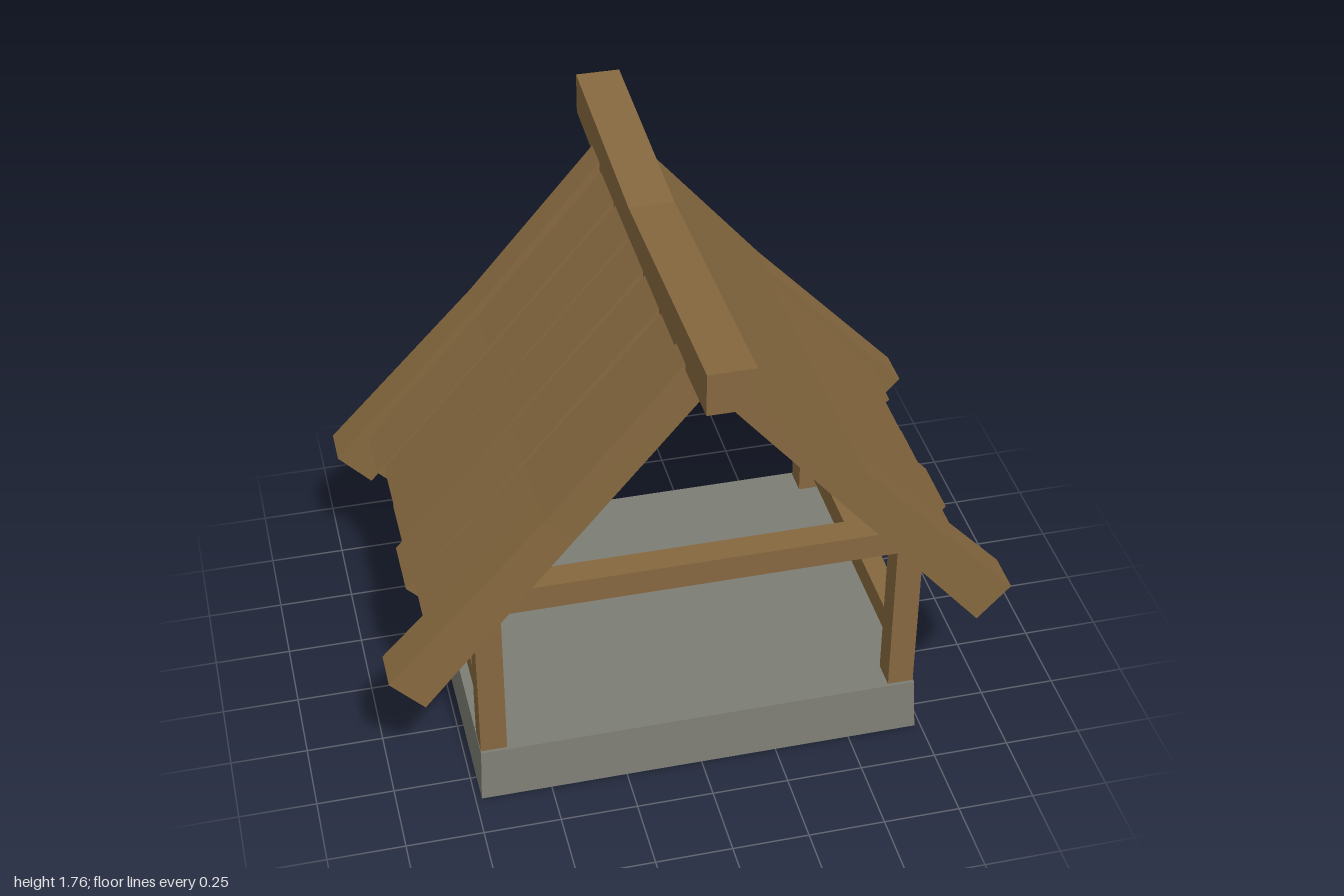
import * as THREE from 'three';

const wood = new THREE.MeshStandardMaterial({ color: 0x86683f, flatShading: true });
const stone = new THREE.MeshStandardMaterial({ color: 0x7c7d74, flatShading: true });

// Skin a row of four-cornered sections, closed at both ends
function loft(name, rings, material) {
  const pos = [];
  const quad = (a, b, c, d) => pos.push(...a, ...b, ...c, ...a, ...c, ...d);
  for (let k = 0; k < rings.length - 1; k++) {
    const r = rings[k], n = rings[k + 1];
    for (let i = 0; i < 4; i++) {
      const j = (i + 1) % 4;
      quad(r[i], r[j], n[j], n[i]);
    }
  }
  const [a, b, c, d] = rings[0];
  quad(d, c, b, a);
  quad(...rings[rings.length - 1]);
  const geometry = new THREE.BufferGeometry();
  geometry.setAttribute('position', new THREE.Float32BufferAttribute(pos, 3));
  geometry.computeVertexNormals();
  const mesh = new THREE.Mesh(geometry, material);
  mesh.name = name;
  return mesh;
}

// Sloping roof timber; each section: outer x, outer y, inner x, inner y, z min, z max
function roofBoard(name, side, sections) {
  return loft(name, sections.map(([ox, oy, ix, iy, z0, z1]) => {
    const ring = [
      [side * ox, oy, z0], [side * ox, oy, z1],
      [side * ix, iy, z1], [side * ix, iy, z0],
    ];
    return side > 0 ? ring : ring.reverse();
  }), wood);
}

function box(name, w, h, d, x, y, z) {
  const mesh = new THREE.Mesh(new THREE.BoxGeometry(w, h, d), wood);
  mesh.name = name;
  mesh.position.set(x, y, z);
  return mesh;
}

export function createModel() {
  const group = new THREE.Group();
  group.name = 'wellShelter';

  // Tapered stone slab
  const slab = (x, y, z) => [[-x, y, z], [x, y, z], [x, y, -z], [-x, y, -z]];
  group.add(loft('stoneBase', [slab(0.73, 0, 0.6), slab(0.722, 0.185, 0.585)], stone));

  // Posts, cross beams and side rails
  for (const z of [-0.53, 0.53]) {
    for (const x of [-0.678, 0.678]) group.add(box('post', 0.085, 0.57, 0.09, x, 0.46, z));
    group.add(box('crossBeam', 1.46, 0.088, 0.088, 0, 0.785, z));
  }
  for (const x of [-0.678, 0.678]) group.add(box('sideRail', 0.07, 0.088, 1.0, x, 0.381, 0));

  // Sagging ridge beam
  const ridge = (z, y) => [[0.073, y, z], [0.073, y + 0.14, z], [-0.073, y + 0.14, z], [-0.073, y, z]];
  group.add(loft('ridgeBeam', [ridge(-0.875, 1.62), ridge(-0.1, 1.573), ridge(0.875, 1.62)], wood));

  // Planks: top z range, eave z range, eave x and y
  const planks = [
    [-0.5, -0.315, -0.502, -0.302, 0.89, 0.675],
    [-0.29, -0.105, -0.3, -0.1, 0.866, 0.69],
    [-0.09, 0.095, -0.1, 0.108, 0.868, 0.69],
    [0.12, 0.305, 0.1, 0.307, 0.89, 0.675],
    [0.335, 0.515, 0.308, 0.49, 0.862, 0.7],
  ];
  for (const side of [-1, 1]) {
    for (const [a0, a1, b0, b1, x, y] of planks) {
      group.add(roofBoard('roofPlank', side, [
        [0, 1.69, 0, 1.615, a0, a1],
        [0.5, 1.11, 0.458, 1.068, (a0 + b0) / 2, (a1 + b1) / 2],
        [x, y, x - 0.046, y - 0.048, b0, b1],
      ]));
    }
    // Heavier gable rafters, flaring towards the eaves
    for (const end of [-1, 1]) {
      const span = (inner, outer) => end > 0 ? [inner, outer] : [-outer, -inner];
      group.add(roofBoard('gableRafter', side, [
        [0, 1.715, 0, 1.525, ...span(0.524, 0.632)],
        [0.5, 1.13, 0.41, 1.042, ...span(0.521, 0.634)],
        [1.0, 0.595, 0.893, 0.48, ...span(0.514, 0.648)],
      ]));
    }
  }
  return group;
}
